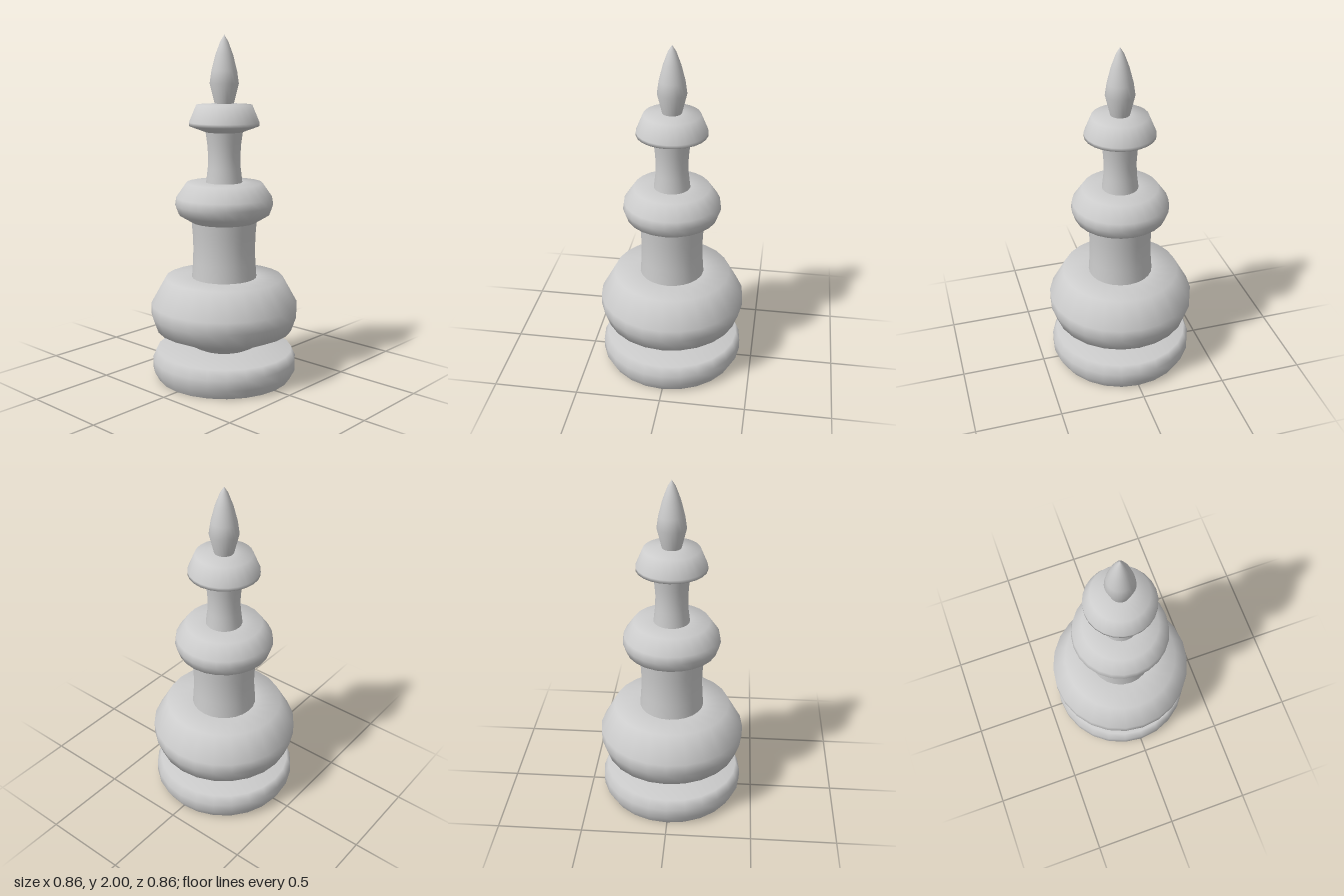
import * as THREE from 'three';

const SIDES = 24;

// Profiles run bottom to top as [radius, height]
const PROFILES = {
  base: [[0.395, 0], [0.425, 0.055], [0.425, 0.115], [0.4, 0.17], [0.16, 0.18]],
  body: [[0.16, 0.18], [0.2, 0.2], [0.24, 0.225], [0.4, 0.295], [0.43, 0.38], [0.43, 0.45], [0.345, 0.603], [0.19, 0.605]],
  lowerColumn: [[0.19, 0.605], [0.183, 0.7], [0.181, 0.78], [0.184, 0.86], [0.19, 0.935]],
  collar: [[0.19, 0.935], [0.265, 0.98], [0.285, 1.035], [0.278, 1.08], [0.22, 1.163], [0.105, 1.165]],
  upperColumn: [[0.105, 1.165], [0.095, 1.25], [0.093, 1.32], [0.098, 1.39], [0.107, 1.455]],
  cap: [[0.107, 1.455], [0.202, 1.49], [0.202, 1.51], [0.16, 1.61], [0.055, 1.617]],
  finial: [[0.055, 1.617], [0.083, 1.73], [0.073, 1.8], [0.05, 1.89], [0.022, 1.965], [0, 2]],
};

export function createModel() {
  const group = new THREE.Group();
  group.name = 'turnedPiece';
  const material = new THREE.MeshStandardMaterial({ color: 0xcccccc });

  const add = (name, geometry) => {
    const mesh = new THREE.Mesh(geometry, material);
    mesh.name = name;
    group.add(mesh);
    return mesh;
  };

  // Turned sections, stacked from foot to tip
  for (const [name, profile] of Object.entries(PROFILES)) {
    const points = profile.map(([r, y]) => new THREE.Vector2(r, y));
    add(name, new THREE.LatheGeometry(points, SIDES));
  }

  // Flat underside
  add('underside', new THREE.CircleGeometry(0.395, SIDES)).rotation.x = Math.PI / 2;

  return group;
}
